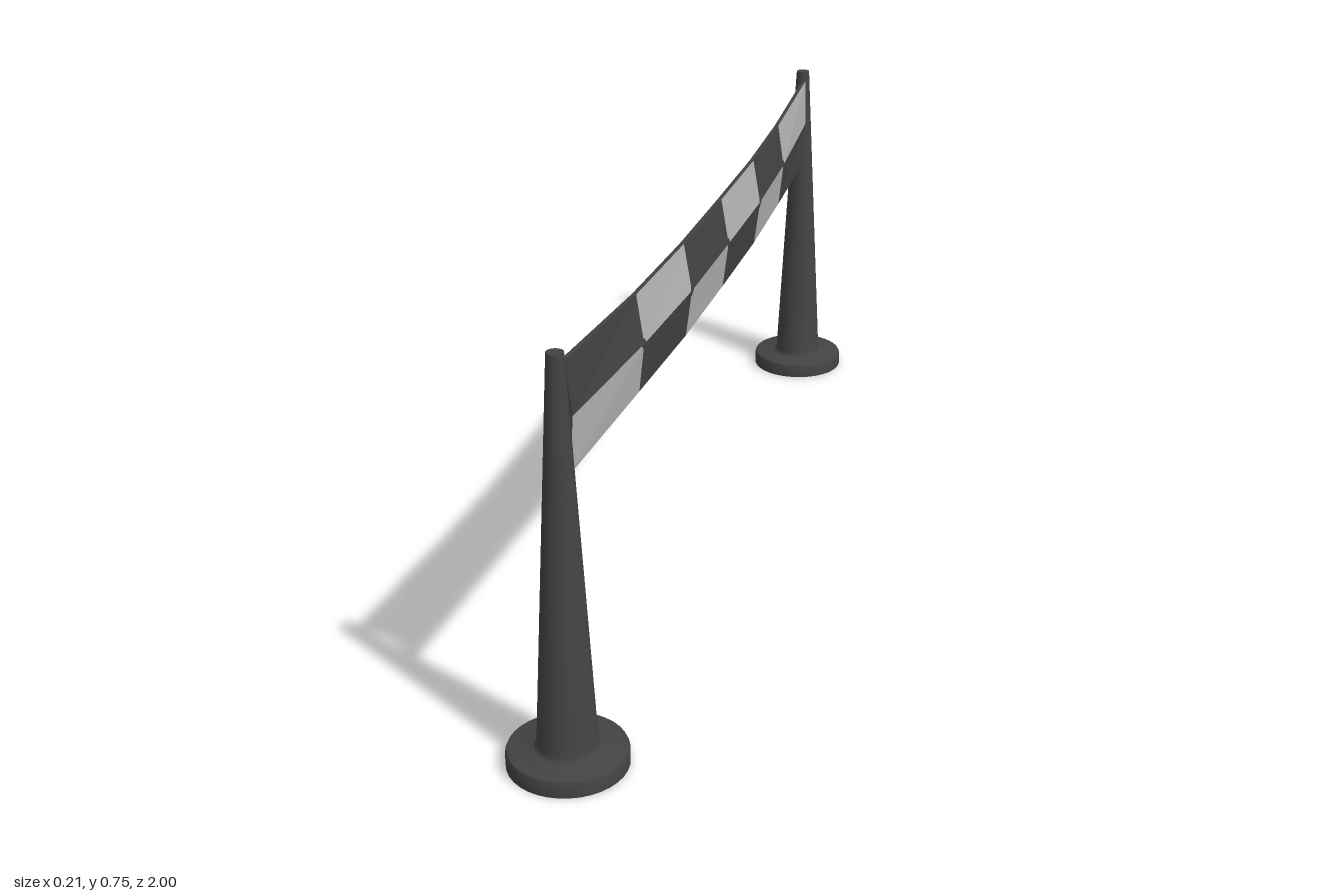
import * as THREE from 'three';
import { toCreasedNormals } from 'three/addons/utils/BufferGeometryUtils.js';

const THICK = 0.008;

// Half-banner stations: [z top, z ridge, z bottom], [x ...], [y ...]
const stations = [
  { z: [0, 0, 0], x: [0.032, 0.047, 0.035], y: [0.71, 0.62, 0.53] },
  { z: [0.27, 0.27, 0.27], x: [0.031, 0.046, 0.034], y: [0.71, 0.62, 0.53] },
  { z: [0.54, 0.54, 0.54], x: [0.022, 0.035, 0.025], y: [0.71, 0.62, 0.53] },
  { z: [0.88, 0.864, 0.868], x: [0.01, 0.015, 0.011], y: [0.725, 0.625, 0.527] },
];

// Point on the banner: station -3..3, row 0 top, 1 ridge, 2 bottom
function bannerPoint(station, row, inner) {
  const s = stations[Math.abs(station)];
  return [s.x[row] - (inner ? THICK : 0), s.y[row], Math.sign(station) * s.z[row]];
}

// Mesh from a list of polygons, counter-clockwise when seen from the front
function polyMesh(polygons, material, name) {
  const pos = [];
  for (const p of polygons) {
    for (let i = 1; i < p.length - 1; i++) pos.push(...p[0], ...p[i], ...p[i + 1]);
  }
  const geo = new THREE.BufferGeometry();
  geo.setAttribute('position', new THREE.Float32BufferAttribute(pos, 3));
  geo.computeVertexNormals();
  const mesh = new THREE.Mesh(geo, material);
  mesh.name = name;
  return mesh;
}

function createPost(material) {
  // Hollow shell: inner cone, underside of foot, rim, foot, outer cone, cap
  const profile = [
    [0, 0.7], [0.012, 0.7], [0.045, 0.035], [0.052, 0.022], [0.094, 0.022], [0.096, 0],
    [0.105, 0], [0.105, 0.025], [0.103, 0.03], [0.098, 0.032],
    [0.058, 0.032], [0.054, 0.035], [0.052, 0.043],
    [0.0145, 0.745], [0, 0.745],
  ].map(([r, y]) => new THREE.Vector2(r * 100, y * 100));
  // Built large so that creasing does not merge nearby points
  const geo = toCreasedNormals(new THREE.LatheGeometry(profile, 36), 0.7);
  geo.scale(0.01, 0.01, 0.01);
  return new THREE.Mesh(geo, material);
}

export function createModel() {
  const model = new THREE.Group();
  model.name = 'bannerBarrier';

  const dark = new THREE.MeshStandardMaterial({ color: 0x434343 });
  dark.name = 'dark grey';
  const light = new THREE.MeshStandardMaterial({ color: 0xb4b4b4 });
  light.name = 'light grey';

  // Posts
  for (const side of [1, -1]) {
    const post = createPost(dark);
    post.name = side > 0 ? 'frontPost' : 'backPost';
    post.position.z = side * 0.895;
    model.add(post);
  }

  const banner = new THREE.Group();
  banner.name = 'banner';
  model.add(banner);

  // Checks, each with an outer and an inner face
  const rims = [];
  for (let s = -3; s < 3; s++) {
    for (let row = 0; row < 2; row++) {
      const corners = (inner) => [
        bannerPoint(s, row, inner), bannerPoint(s + 1, row, inner),
        bannerPoint(s + 1, row + 1, inner), bannerPoint(s, row + 1, inner),
      ];
      const isDark = (s + 3 + row) % 2 === 1;
      banner.add(polyMesh([corners(false), corners(true).reverse()],
        isDark ? dark : light, isDark ? 'darkCheck' : 'lightCheck'));
    }
    const a = (row, inner) => bannerPoint(s, row, inner);
    const b = (row, inner) => bannerPoint(s + 1, row, inner);
    rims.push([a(0, true), b(0, true), b(0, false), a(0, false)]);
    rims.push([a(2, false), b(2, false), b(2, true), a(2, true)]);
  }

  // Banner ends
  for (let row = 0; row < 2; row++) {
    const end = (s) => [
      bannerPoint(s, row, true), bannerPoint(s, row + 1, true),
      bannerPoint(s, row + 1, false), bannerPoint(s, row, false),
    ];
    rims.push(end(3), end(-3).reverse());
  }
  banner.add(polyMesh(rims, dark, 'bannerRim'));

  // Small dark joints where four checks meet
  const lerp = (p, q, t) => p.map((v, i) => v + (q[i] - v) * t);
  for (let s = -2; s <= 2; s++) {
    const faces = [];
    for (const inner of [false, true]) {
      const lift = ([x, y, z]) => [x + (inner ? -0.001 : 0.001), y, z];
      const mid = bannerPoint(s, 1, inner);
      const near = (st, row, t) => lift(lerp(mid, bannerPoint(st, row, inner), t));
      const ring = [near(s, 0, 0.14), near(s + 1, 1, 0.04), near(s, 2, 0.14), near(s - 1, 1, 0.04)];
      for (let i = 0; i < 4; i++) {
        const tri = [lift(mid), ring[i], ring[(i + 1) % 4]];
        faces.push(inner ? tri.reverse() : tri);
      }
    }
    banner.add(polyMesh(faces, dark, 'checkJoint'));
  }

  return model;
}
